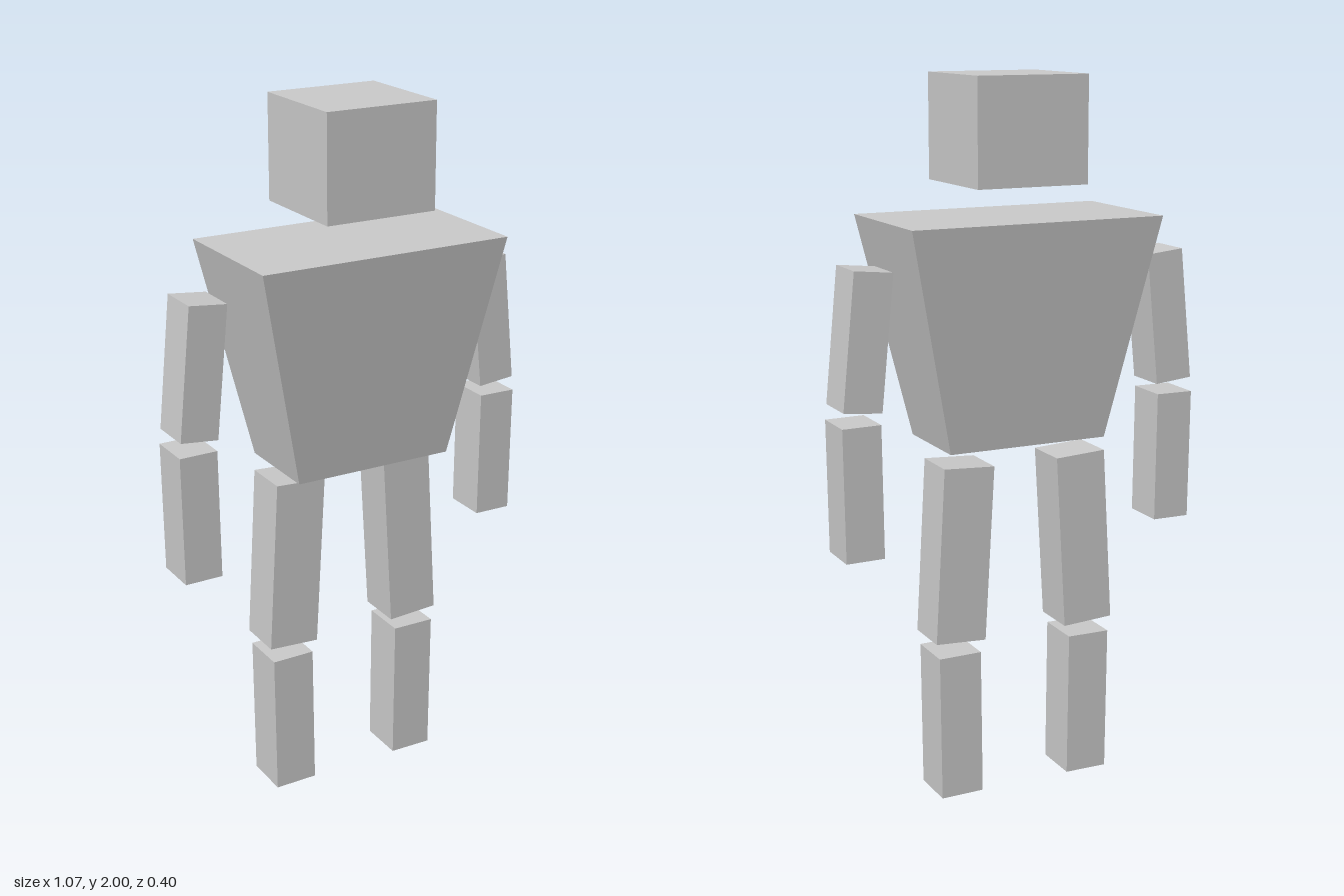
import * as THREE from 'three';

const material = new THREE.MeshStandardMaterial({ color: 0xcccccc, flatShading: true });

// Limb segments: centre x/y, width, height, back z, tilt; mirrored to both sides
const Z_FRONT = 0.023;
const limbs = [
  { name: 'UpperArm', x: 0.455, y: 1.322, w: 0.11, h: 0.373, back: -0.105, tilt: 0.1 },
  { name: 'Forearm', x: 0.476, y: 0.915, w: 0.11, h: 0.37, back: -0.105, tilt: -0.01 },
  { name: 'Thigh', x: 0.185, y: 0.707, w: 0.149, h: 0.498, back: -0.113, tilt: 0.057 },
  { name: 'Shin', x: 0.2, y: 0.21, w: 0.125, h: 0.418, back: -0.113, tilt: -0.01 },
];

function addBox(group, name, w, h, d, x, y, z, tilt = 0) {
  const mesh = new THREE.Mesh(new THREE.BoxGeometry(w, h, d), material);
  mesh.name = name;
  mesh.position.set(x, y, z);
  mesh.rotation.z = tilt;
  group.add(mesh);
  return mesh;
}

export function createModel() {
  const model = new THREE.Group();
  model.name = 'blockFigure';

  addBox(model, 'head', 0.324, 0.29, 0.316, 0, 1.855, 0.004);

  // Torso: box narrowed towards the waist
  const torso = addBox(model, 'torso', 0.738, 0.618, 0.404, 0, 1.312, 0);
  const pos = torso.geometry.attributes.position;
  for (let i = 0; i < pos.count; i++) {
    if (pos.getY(i) < 0) {
      pos.setX(i, pos.getX(i) * 0.635);
      pos.setZ(i, pos.getZ(i) * 0.645);
    }
  }
  torso.geometry.computeVertexNormals();

  // Arms and legs
  for (const [side, s] of [['left', 1], ['right', -1]]) {
    for (const { name, x, y, w, h, back, tilt } of limbs) {
      addBox(model, side + name, w, h, Z_FRONT - back, s * x, y, (Z_FRONT + back) / 2, s * tilt);
    }
  }
  return model;
}
